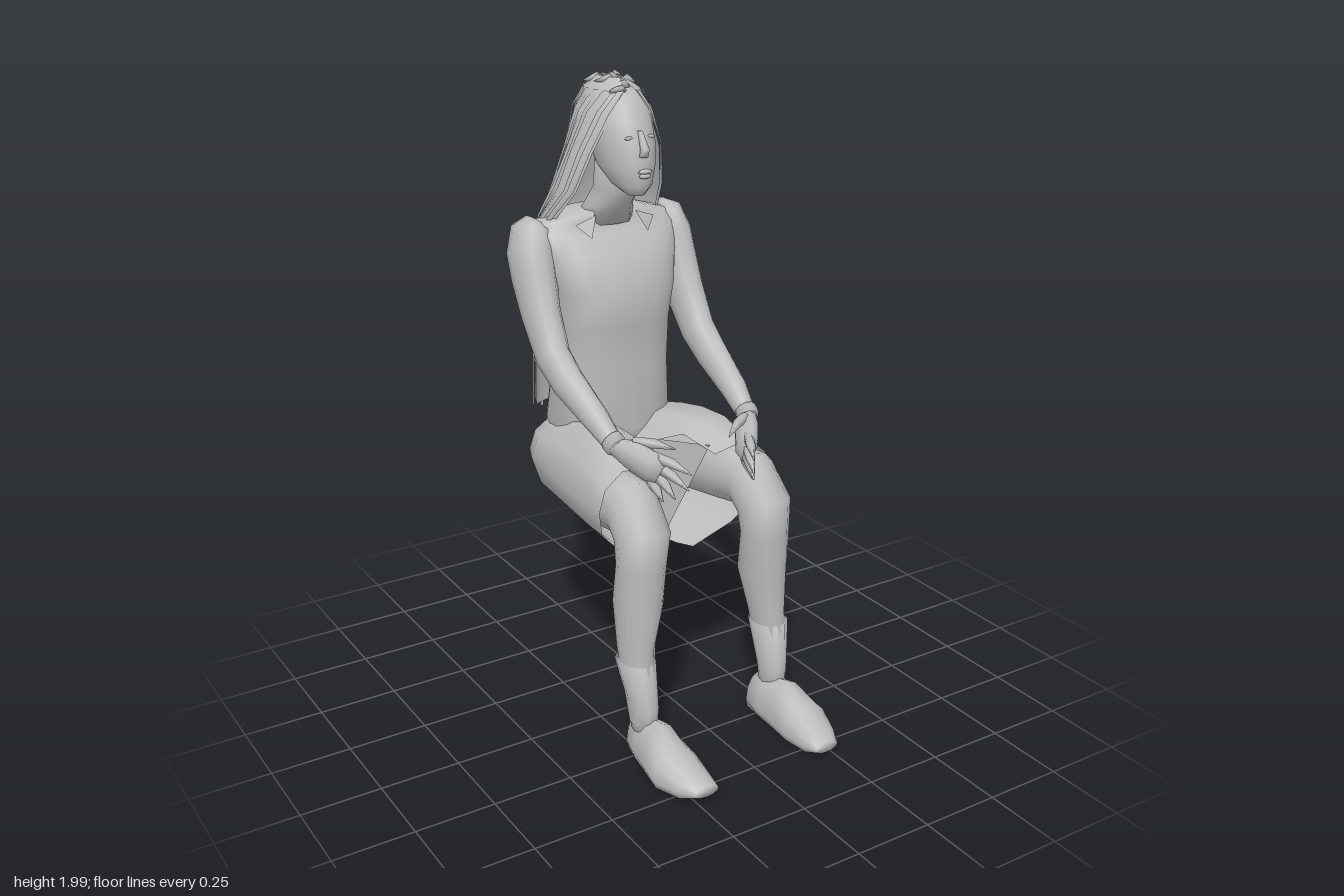
import * as THREE from 'three';

const grey = new THREE.MeshStandardMaterial({ color: 0xbcbcbc, side: THREE.DoubleSide });
const V = (x, y, z) => new THREE.Vector3(x, y, z);

// Skin a list of point rows; closed rows become a capped tube
function loft(rows, closed) {
  const n = rows[0].length, pos = [], idx = [];
  rows.forEach(r => r.forEach(p => pos.push(p.x, p.y, p.z)));
  for (let i = 0; i < rows.length - 1; i++) {
    for (let j = 0; j < (closed ? n : n - 1); j++) {
      const a = i * n + j, b = i * n + (j + 1) % n;
      idx.push(a, b, b + n, a, b + n, a + n);
    }
  }
  if (closed) {
    [0, rows.length - 1].forEach((r, end) => {
      const c = pos.length / 3, mid = V(0, 0, 0);
      rows[r].forEach(p => mid.addScaledVector(p, 1 / n));
      pos.push(mid.x, mid.y, mid.z);
      for (let j = 0; j < n; j++) {
        const a = r * n + j, b = r * n + (j + 1) % n;
        end ? idx.push(a, b, c) : idx.push(b, a, c);
      }
    });
  }
  const g = new THREE.BufferGeometry();
  g.setAttribute('position', new THREE.Float32BufferAttribute(pos, 3));
  g.setIndex(idx);
  g.computeVertexNormals();
  return g;
}

// Rings along a path; each section is [x, y, z, half width, half depth].
// No point drops below the floor; a power under 1 makes the ovals squarer.
function limb(secs, sides = 10, { dir = null, s = 1, floor = 0, power = 1 } = {}) {
  const pts = secs.map(q => V(q[0] * s, q[1], q[2]));
  const bulge = c => Math.sign(c) * Math.abs(c) ** power;
  return loft(secs.map((q, i) => {
    const d = dir ? dir.clone()
      : pts[Math.min(i + 1, pts.length - 1)].clone().sub(pts[Math.max(i - 1, 0)]).normalize();
    const u = V(1, 0, 0).addScaledVector(d, -d.x).normalize();
    const v = d.clone().cross(u);
    return Array.from({ length: sides }, (_, k) => {
      const t = k / sides * Math.PI * 2;
      const p = pts[i].clone().addScaledVector(u, bulge(Math.cos(t)) * q[3]).addScaledVector(v, bulge(Math.sin(t)) * q[4]);
      p.y = Math.max(p.y, floor);
      return p;
    });
  }), true);
}

export function createModel() {
  const model = new THREE.Group();
  const UP = V(0, 1, 0);
  const add = (name, geo) => {
    const m = new THREE.Mesh(geo, grey);
    m.name = name;
    model.add(m);
    return m;
  };
  const triangle = (a, b, c) => {
    const g = new THREE.BufferGeometry().setFromPoints([a, b, c]);
    g.computeVertexNormals();
    return g;
  };

  // Torso, neck and head
  add('torso', limb([
    [0, 0.78, -0.35, 0.15, 0.13], [0, 0.88, -0.365, 0.195, 0.165], [0, 1.08, -0.345, 0.185, 0.14],
    [0, 1.22, -0.35, 0.192, 0.15], [0, 1.34, -0.345, 0.205, 0.165], [0, 1.45, -0.37, 0.24, 0.13],
    [0, 1.51, -0.385, 0.25, 0.1], [0, 1.545, -0.39, 0.225, 0.078], [0, 1.575, -0.375, 0.12, 0.075]],
    20, { dir: UP, power: 0.75 }));
  add('neck', limb([[0, 1.53, -0.37, 0.1, 0.08], [0, 1.59, -0.34, 0.075, 0.08],
    [0, 1.65, -0.29, 0.064, 0.09], [0, 1.74, -0.28, 0.065, 0.085]], 12, { dir: UP }));
  add('head', limb([
    [0, 1.645, -0.175, 0.025, 0.03], [0, 1.675, -0.2, 0.055, 0.08], [0, 1.73, -0.235, 0.08, 0.115],
    [0, 1.8, -0.26, 0.093, 0.13], [0, 1.87, -0.285, 0.098, 0.125], [0, 1.93, -0.305, 0.085, 0.105],
    [0, 1.97, -0.32, 0.045, 0.055]], 16, { dir: UP }));
  add('nose', limb([[0, 1.765, -0.127, 0.016, 0.014], [0, 1.79, -0.122, 0.014, 0.02],
    [0, 1.84, -0.148, 0.008, 0.01]], 6, { dir: UP }));
  [[1.722, 0.024], [1.709, 0.021]].forEach(([y, w]) => {
    const lip = add('lip', new THREE.SphereGeometry(1, 8, 6));
    lip.scale.set(w, 0.008, 0.01);
    lip.position.set(0, y, -0.12);
  });

  // Shirt front opening
  const placket = add('placket', loft([[0.88, -0.2], [1.08, -0.205], [1.22, -0.2], [1.34, -0.18],
    [1.45, -0.24], [1.51, -0.285]].map(([y, z]) => [V(0.003, y, z), V(-0.003, y, z)]), false));
  placket.position.z = 0.003;

  // Skirt sections: z, inner x, outer x, top y, side y, bottom y, dip between the thighs
  const skirt = [
    [-0.575, 0, 0.08, 0.75, 0.745, 0.74, 0], [-0.565, 0, 0.14, 0.81, 0.75, 0.68, 0],
    [-0.5, 0, 0.22, 0.86, 0.76, 0.6, 0.01], [-0.4, 0, 0.265, 0.885, 0.77, 0.535, 0.02],
    [-0.2, 0, 0.295, 0.935, 0.78, 0.545, 0.1], [-0.1, 0.02, 0.305, 0.95, 0.78, 0.55, 0.08],
    [0, 0.06, 0.31, 0.945, 0.78, 0.55, 0.03], [0.12, 0.1, 0.31, 0.895, 0.78, 0.555, 0.015]];

  for (const s of [1, -1]) {
    const side = s > 0 ? 'left' : 'right';
    const part = (name, secs, sides, options) => add(side + name, limb(secs, sides, { s, ...options }));

    add(side + 'Skirt', loft(skirt.map(([z, xi, xo, yt, ym, yb, dip]) => {
      const w = xo - xi, zb = Math.min(z, 0.02 + z / 3);
      return [V(s * xi, yt - dip, z), V(s * (xi + w * 0.3), yt - dip * 0.15, z), V(s * (xi + w * 0.62), yt, z),
        V(s * (xi + w * 0.9), yt * 0.6 + ym * 0.4, z), V(s * xo, ym, z),
        V(s * (xi + w * 0.88), ym * 0.6 + yb * 0.4, (z + zb) / 2),
        V(s * (xi + w * 0.5), ym * 0.22 + yb * 0.78, zb), V(s * xi * 0.6, yb, zb)];
    }), false));
    add(side + 'SkirtFold', triangle(V(s * 0.1, 0.9, 0.09), V(s * 0.005, 0.84, -0.25), V(0, 0.39, -0.14)));

    // Legs
    part('Leg', [[0.17, 0.73, -0.25, 0.07, 0.08], [0.21, 0.775, 0.02, 0.085, 0.1], [0.215, 0.785, 0.15, 0.085, 0.095],
      [0.22, 0.72, 0.215, 0.085, 0.085], [0.225, 0.63, 0.215, 0.077, 0.073], [0.228, 0.5, 0.2, 0.072, 0.09],
      [0.242, 0.36, 0.21, 0.055, 0.068], [0.245, 0.12, 0.25, 0.035, 0.05]], 12);
    part('Sock', [[0.24, 0.1, 0.255, 0.038, 0.05], [0.24, 0.17, 0.25, 0.042, 0.055],
      [0.247, 0.32, 0.213, 0.06, 0.07]], 10, { dir: UP });
    // Shoe runs from heel to toe over a flat sole
    part('Shoe', [[0.225, 0.035, 0.2, 0.048, 0.09], [0.23, 0.035, 0.26, 0.058, 0.1], [0.235, 0.035, 0.34, 0.068, 0.12],
      [0.24, 0.035, 0.43, 0.082, 0.082], [0.23, 0.035, 0.52, 0.062, 0.045], [0.22, 0.042, 0.57, 0.042, 0.018]],
      12, { dir: V(0, 0, 1), floor: 0.008 });

    // Arms and hands
    part('Arm', [[0.222, 1.545, -0.41, 0.03, 0.04], [0.237, 1.525, -0.408, 0.058, 0.075],
      [0.25, 1.455, -0.39, 0.07, 0.092], [0.256, 1.38, -0.36, 0.065, 0.09], [0.262, 1.28, -0.31, 0.057, 0.08],
      [0.265, 1.16, -0.23, 0.05, 0.07], [0.262, 1.1, -0.14, 0.048, 0.06], [0.25, 1.03, 0, 0.04, 0.045],
      [0.237, 0.965, 0.1, 0.028, 0.03]], 12);
    part('Cuff', [[0.242, 0.985, 0.075, 0.034, 0.037], [0.237, 0.97, 0.1, 0.034, 0.037]], 10);
    part('Palm', [[0.238, 0.97, 0.09, 0.026, 0.028], [0.205, 0.95, 0.135, 0.037, 0.048],
      [0.168, 0.92, 0.19, 0.034, 0.056], [0.155, 0.905, 0.215, 0.02, 0.042]], 8);
    [[0.2, 0.985, 0.13, 0.095, 0.965, 0.2], [0.17, 0.955, 0.19, 0.11, 0.925, 0.31], [0.16, 0.925, 0.2, 0.115, 0.875, 0.305],
      [0.16, 0.895, 0.2, 0.14, 0.84, 0.27], [0.17, 0.875, 0.18, 0.16, 0.825, 0.235]].forEach(([a, b, c, x, y, z]) =>
      part('Finger', [[a, b, c, 0.016, 0.018], [(a + x) / 2, (b + y) / 2 + 0.008, (c + z) / 2, 0.015, 0.016],
        [x, y, z, 0.002, 0.002]], 5));

    // Eye and collar point
    const eye = add(side + 'Eye', new THREE.SphereGeometry(1, 8, 6));
    eye.scale.set(0.015, 0.006, 0.004);
    eye.position.set(s * 0.038, 1.82, -0.149);
    add(side + 'Collar', triangle(V(s * 0.07, 1.565, -0.295), V(s * 0.14, 1.54, -0.3), V(s * 0.1, 1.5, -0.268)));
  }

  // Hair levels: y, half width, centre z, half depth, half opening angle in degrees
  const levels = [[1.982, 0.03, -0.32, 0.06, 178], [1.95, 0.075, -0.31, 0.11, 165], [1.89, 0.108, -0.31, 0.135, 145],
    [1.77, 0.138, -0.31, 0.155, 122], [1.65, 0.165, -0.345, 0.162, 116], [1.55, 0.19, -0.4, 0.145, 108],
    [1.35, 0.19, -0.455, 0.1, 85], [1.15, 0.19, -0.475, 0.085, 80], [0.9, 0.19, -0.495, 0.068, 78]];
  const hairPoint = (a, [y, rx, zc, rz, deg], k = 1, drop = 0) => {
    const t = a * deg * Math.PI / 180;
    return V(Math.sin(t) * rx * k, y - drop, zc - Math.cos(t) * rz * k);
  };
  add('hair', loft(levels.map(l => Array.from({ length: 25 }, (_, j) => hairPoint(j / 12 - 1, l))), false));

  let seed = 7;
  const rand = () => (seed = (seed * 16807) % 2147483647) / 2147483647;

  // Loose strands lying over the hair
  for (let i = 0; i < 14; i++) {
    const a = -0.94 + i * 1.88 / 13, w = 0.04 + rand() * 0.025, k = 1.04 + rand() * 0.04;
    const end = rand() * 0.035;
    add('strand', loft(levels.slice(1).map((l, n) => {
      const c = a + (rand() - 0.5) * 0.04, drop = n === 7 ? end - 0.015 : 0;
      return [hairPoint(c - w, l, k - 0.03, drop), hairPoint(c, l, k, drop), hairPoint(c + w, l, k - 0.03, drop)];
    }), false));
  }

  // Jagged tufts along the crown
  for (let i = 0; i < 9; i++) {
    const z = -0.215 - i * 0.024, x = (i % 3 - 1) * 0.03, y = 1.945 + 0.025 * Math.sin(i / 8 * Math.PI);
    add('tuft', limb([[x, y, z - 0.015, 0.035, 0.025], [x * 0.9, y + 0.014, z - 0.004, 0.018, 0.01],
      [x * 0.8, y + 0.02 + rand() * 0.01, z + 0.004, 0.002, 0.002]], 5, { dir: UP }));
  }
  return model;
}
